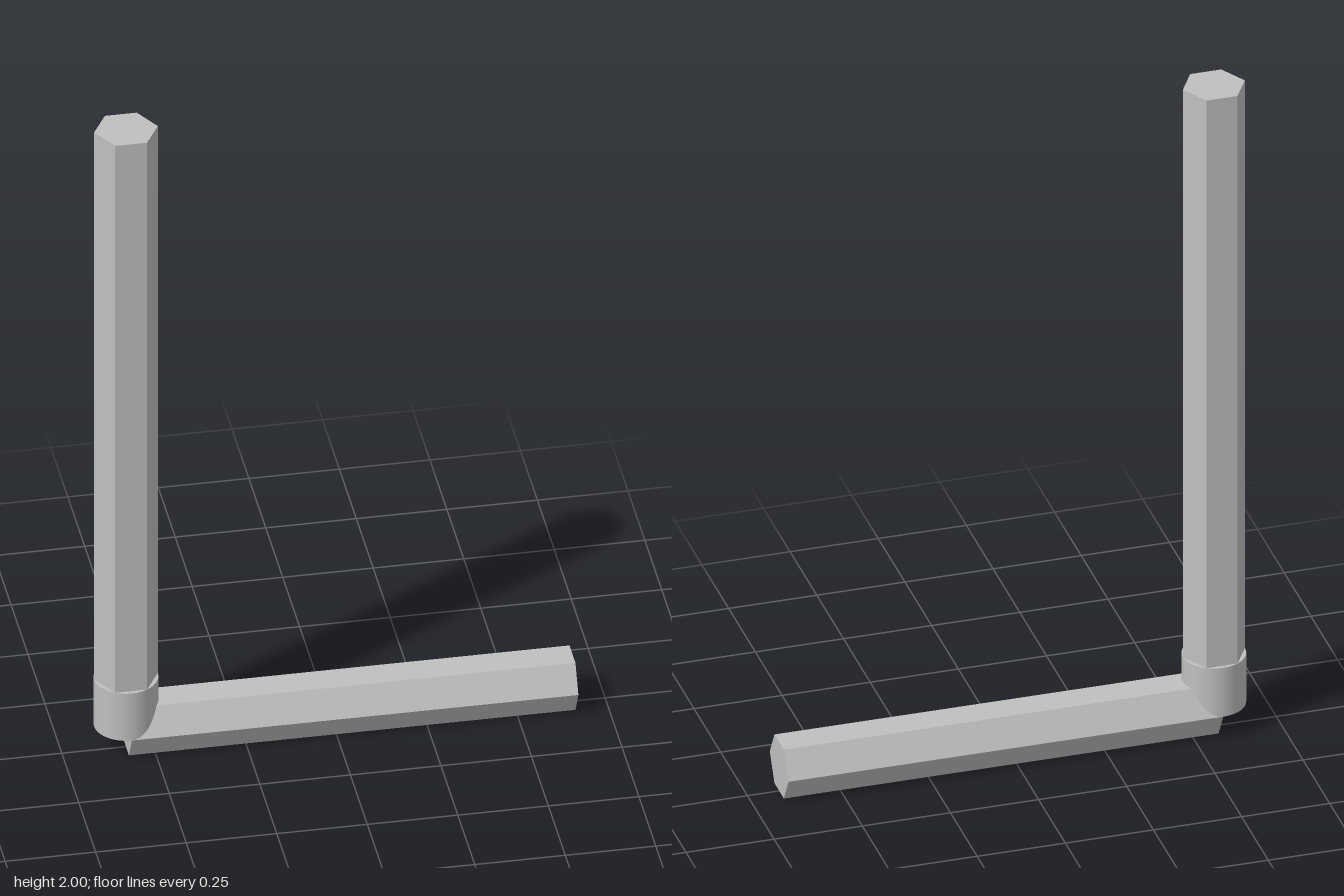
import * as THREE from 'three';

const R = 0.088;                        // corner radius of the hex bar
const FLAT = R * Math.cos(Math.PI / 6); // half width across the flats
const CORNER_X = -0.573;

export function createModel() {
  const group = new THREE.Group();
  const steel = new THREE.MeshStandardMaterial({ color: 0xc0c0c0 });
  steel.name = 'steel grey';

  const add = (name, geometry, x, y) => {
    const mesh = new THREE.Mesh(geometry, steel);
    mesh.name = name;
    mesh.position.set(x, y, 0);
    group.add(mesh);
  };

  // Hexagonal bar with faceted sides
  const hexBar = (length) => {
    const g = new THREE.CylinderGeometry(R, R, length, 6).toNonIndexed();
    g.computeVertexNormals();
    return g;
  };

  // Long upright arm, corners pointing along x
  const bottom = FLAT + 0.005;
  add('longArm', hexBar(2 - bottom).rotateY(Math.PI / 6), CORNER_X, (2 + bottom) / 2);

  // Short arm along the ground, flats at top and bottom
  const end = 0.66;
  add('shortArm', hexBar(end - CORNER_X).rotateZ(-Math.PI / 2), (end + CORNER_X) / 2, FLAT);

  // Smooth round collar at the bend
  add('cornerCollar', new THREE.CylinderGeometry(R, R, 2 * FLAT, 48), CORNER_X, 2 * FLAT);

  return group;
}
